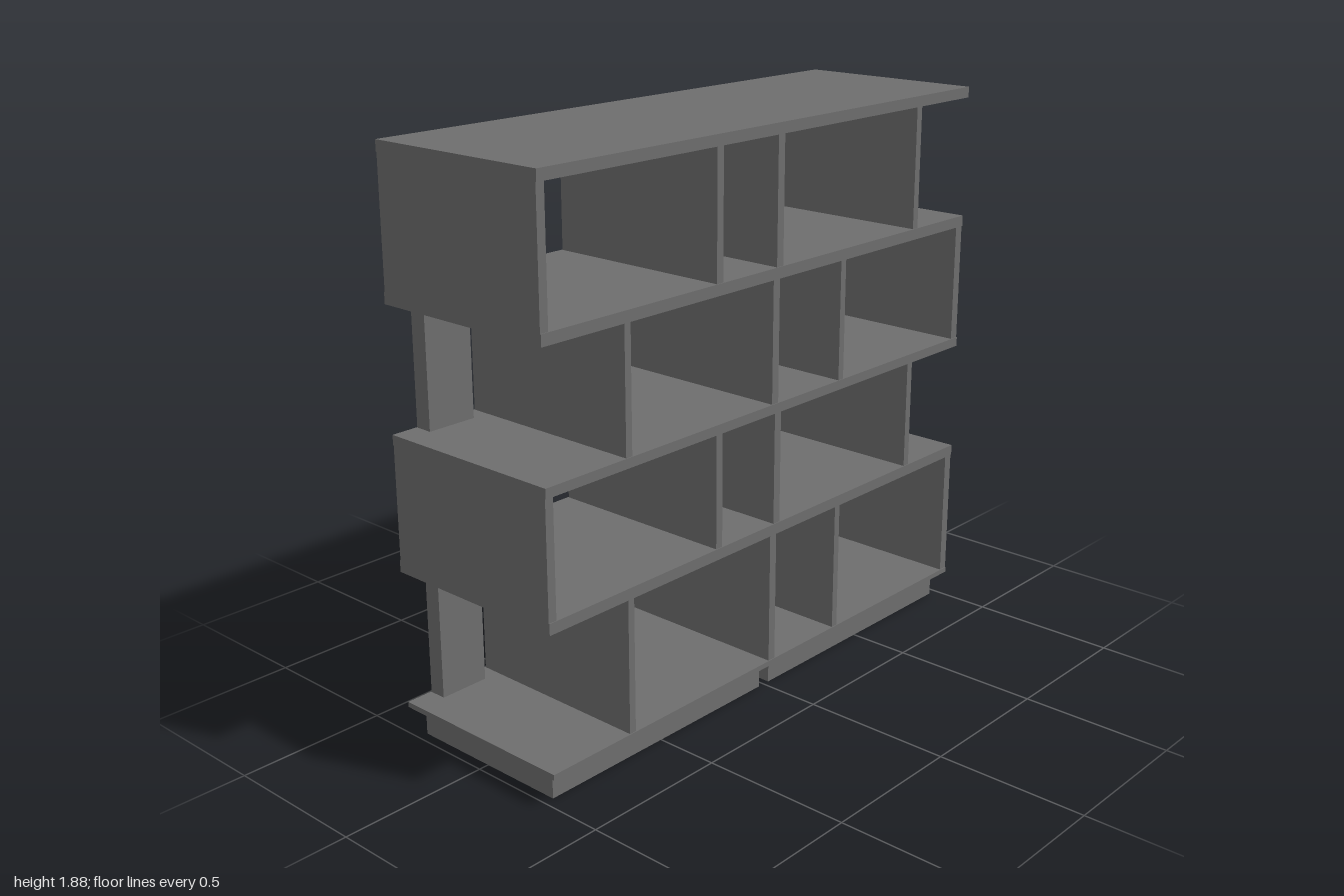
import * as THREE from 'three';

const SHELF_HALF_DEPTH = 0.332;
const UPRIGHT_HALF_DEPTH = 0.329;
const PLINTH_HALF_DEPTH = 0.288;

export function createModel() {
  const model = new THREE.Group();
  const material = new THREE.MeshStandardMaterial({ color: 0x6e6e6e });

  // Box given by its limits on each axis
  function slab(name, x0, x1, y0, y1, z0, z1) {
    const mesh = new THREE.Mesh(new THREE.BoxGeometry(x1 - x0, y1 - y0, z1 - z0), material);
    mesh.position.set((x0 + x1) / 2, (y0 + y1) / 2, (z0 + z1) / 2);
    mesh.name = name;
    model.add(mesh);
    return mesh;
  }

  // Horizontal boards, bottom to top: [underside, top]
  const shelves = [[0.092, 0.11], [0.555, 0.592], [0.968, 1.0], [1.403, 1.44], [1.849, 1.885]];
  shelves.forEach(([y0, y1]) => slab('shelf', -1, 1, y0, y1, -SHELF_HALF_DEPTH, SHELF_HALF_DEPTH));

  // Two alternating tiers: full-depth uprights and narrow panels at the back
  const tiers = [
    {
      uprights: [[-0.68, -0.655], [-0.025, 0.005], [0.315, 0.34], [0.967, 1]],
      backPanels: [[-0.908, -0.735], [0.085, 0.26]],
    },
    {
      uprights: [[-1, -0.97], [-0.288, -0.26], [-0.01, 0.02], [0.706, 0.732]],
      backPanels: [[-0.22, -0.056], [0.775, 0.934]],
    },
  ];
  for (let i = 0; i < 4; i++) {
    const y0 = shelves[i][1], y1 = shelves[i + 1][0];
    const tier = tiers[i % 2];
    for (const [x0, x1] of tier.uprights) slab('upright', x0, x1, y0, y1, -UPRIGHT_HALF_DEPTH, UPRIGHT_HALF_DEPTH);
    for (const [x0, x1] of tier.backPanels) slab('backPanel', x0, x1, y0, y1, -UPRIGHT_HALF_DEPTH, -0.27);
  }

  // Plinths, each with a bevel widening up to the bottom shelf
  for (const side of [-1, 1]) {
    const inner = side * 0.024, outer = side * 0.966;
    const x0 = Math.min(inner, outer), x1 = Math.max(inner, outer);
    slab('plinth', x0, x1, 0, 0.075, -PLINTH_HALF_DEPTH, PLINTH_HALF_DEPTH);

    const left = Math.min(0, side);
    const bevel = slab('plinthBevel', left, left + 1, 0.075, 0.092, -SHELF_HALF_DEPTH, SHELF_HALF_DEPTH);
    const pos = bevel.geometry.attributes.position;
    for (let i = 0; i < pos.count; i++) {
      if (pos.getY(i) > 0) continue;
      pos.setX(i, (pos.getX(i) < 0 ? x0 : x1) - bevel.position.x);
      pos.setZ(i, Math.sign(pos.getZ(i)) * PLINTH_HALF_DEPTH);
    }
    bevel.geometry.computeVertexNormals();
  }

  return model;
}
